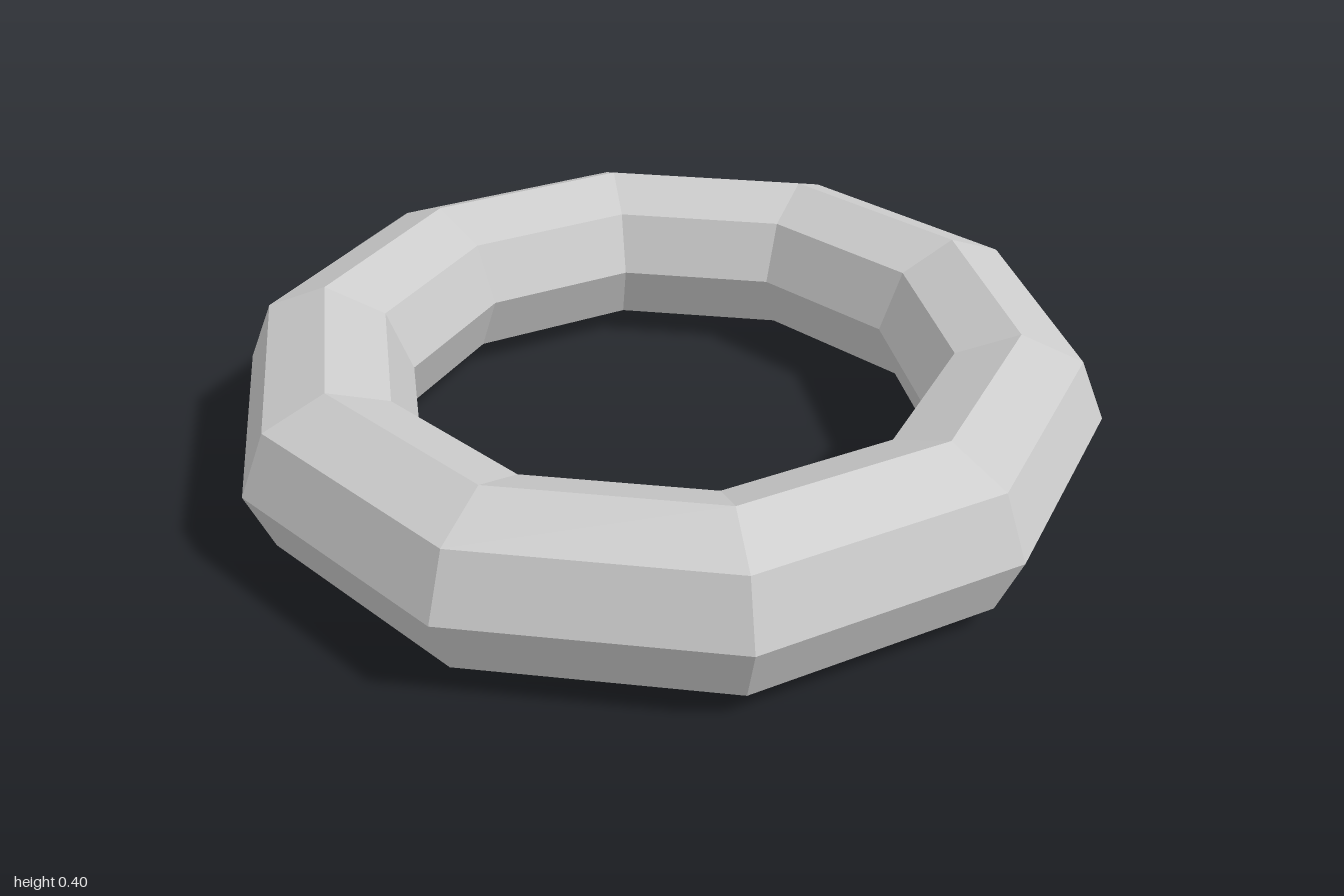
import * as THREE from 'three';

const RING_RADIUS = 0.8;
const TUBE_RADIUS = 0.2;

export function createModel() {
  const group = new THREE.Group();
  group.name = 'lowPolyRing';

  // Ten-sided ring with an eight-sided tube, lying flat on the ground
  const geometry = new THREE.TorusGeometry(RING_RADIUS, TUBE_RADIUS, 8, 10);
  geometry.rotateX(-Math.PI / 2);
  geometry.translate(0, TUBE_RADIUS, 0);

  const material = new THREE.MeshStandardMaterial({ color: 0xcccccc, flatShading: true });
  const ring = new THREE.Mesh(geometry, material);
  ring.name = 'ring';
  group.add(ring);

  return group;
}
